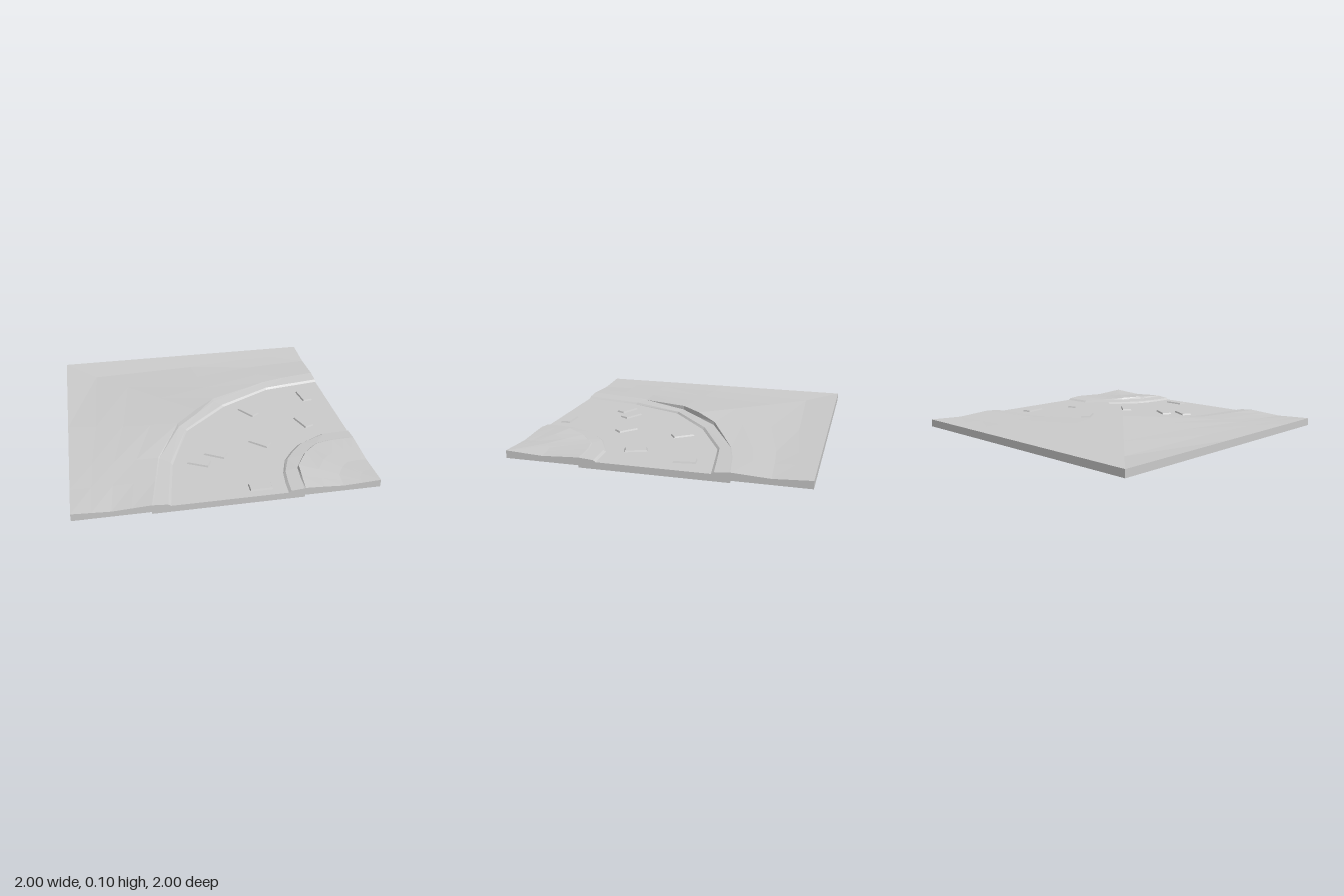
import * as THREE from 'three';

const material = new THREE.MeshStandardMaterial({ color: 0xcccccc, flatShading: true, side: THREE.DoubleSide });

// Plan lines [x, z] running from the front edge round to the right edge
const outerEdge = [[-0.5, 1], [-0.45, 0.75], [-0.4, 0.5], [-0.21, 0.13], [-0.05, -0.03], [0.11, -0.19], [0.56, -0.41], [0.75, -0.46], [1, -0.5]];
const outerFoot = [[-0.38, 1], [-0.345, 0.78], [-0.31, 0.57], [-0.15, 0.17], [0.015, 0.025], [0.18, -0.12], [0.57, -0.32], [0.78, -0.35], [1, -0.38]];
const innerFoot = [[0.38, 1], [0.385, 0.9], [0.4, 0.79], [0.45, 0.65], [0.52, 0.56], [0.6, 0.48], [0.8, 0.38], [0.9, 0.375], [1, 0.37]];
const innerEdge = [[0.49, 1], [0.5, 0.88], [0.51, 0.77], [0.6, 0.63], [0.66, 0.57], [0.72, 0.52], [0.84, 0.495], [0.92, 0.49], [1, 0.49]];
const outerBorder = [[-1, 1], [-1, 0.75], [-1, 0.5], [-1, 0], [-1, -1], [0, -1], [0.5, -1], [0.75, -1], [1, -1]];
const innerBorder = [[0.99, 1], [0.99, 1], [1, 1], [1, 1], [1, 1], [1, 1], [1, 1], [1, 0.99], [1, 0.99]];

const mix = (a, b, t) => [a[0] + (b[0] - a[0]) * t, a[1] + (b[1] - a[1]) * t];
const bump = (x, z, cx, cz, r) => Math.exp(-((x - cx) ** 2 + (z - cz) ** 2) / (r * r));
const dip = (t) => Math.max(0, 1 - Math.abs(Math.abs(t) - 0.75) / 0.25);

// Rolling height of the grass
function ground(x, z) {
  let y = 0.068 + 0.035 * bump(x, z, -0.1, -0.02, 0.36) + 0.02 * bump(x, z, 0.54, 0.74, 0.18);
  const nearFront = Math.max(0, 1 - (1 - z) / 0.4);
  const nearRight = Math.max(0, 1 - (1 - x) / 0.4);
  y -= 0.014 * Math.max(dip(x) * nearFront, z > 0 ? dip(z) * nearRight : dip(z));
  return y;
}

// Skin a list of equal-length cross-sections of [x, y, z] points
function loft(name, rows, flip) {
  const n = rows[0].length;
  const index = [];
  for (let i = 0; i < rows.length - 1; i++) {
    for (let j = 0; j < n - 1; j++) {
      const a = i * n + j, b = a + n, c = a + 1, d = b + 1;
      index.push(...(flip ? [a, c, b, b, c, d] : [a, b, c, b, d, c]));
    }
  }
  const geometry = new THREE.BufferGeometry();
  geometry.setAttribute('position', new THREE.Float32BufferAttribute(rows.flat(2), 3));
  geometry.setIndex(index);
  geometry.computeVertexNormals();
  const mesh = new THREE.Mesh(geometry, material);
  mesh.name = name;
  return mesh;
}

// Close both ends of a loft with a vertical skirt
function withEnds(rows, bottom) {
  const drop = (row) => row.map(([x, , z]) => [x, bottom, z]);
  return [drop(rows[0]), ...rows, drop(rows[rows.length - 1])];
}

// Grass sheet between a path edge and the tile border
function grass(name, edge, border, steps, flip) {
  const rows = edge.map((e, i) => {
    const row = [];
    for (let k = 0; k <= steps; k++) {
      const [x, z] = mix(e, border[i], k / steps);
      row.push([x, ground(x, z), z]);
    }
    const [x, z] = border[i];
    row.push([x, 0.015, z]);
    return row;
  });
  return loft(name, withEnds(rows, 0.015), flip);
}

// Sunken path with a kerb along each side
function path() {
  const floor = 0.047;
  const rows = outerEdge.map((o, i) => {
    const p = outerFoot[i], q = innerFoot[i], e = innerEdge[i];
    const at = ([x, z], y) => [x, y, z];
    return [
      at(o, 0), at(o, ground(...o)), at(mix(o, p, 0.08), 0.067), at(mix(o, p, 0.85), 0.06), at(p, floor),
      at(q, floor), at(mix(e, q, 0.85), 0.06), at(mix(e, q, 0.08), 0.067), at(e, ground(...e)), at(e, 0),
    ];
  });
  return loft('path', withEnds(rows, 0), true);
}

// Flat paving stone with tapered sides
function stone(x, z, dx, dz) {
  const geometry = new THREE.BoxGeometry(0.155, 0.016, 0.078);
  const pos = geometry.attributes.position;
  for (let i = 0; i < pos.count; i++) {
    if (pos.getY(i) > 0) {
      pos.setX(i, pos.getX(i) * 0.91);
      pos.setZ(i, pos.getZ(i) * 0.82);
    }
  }
  geometry.computeVertexNormals();
  const mesh = new THREE.Mesh(geometry, material);
  mesh.name = 'pavingStone';
  mesh.position.set(x, 0.05, z);
  mesh.rotation.y = -Math.atan2(dz, dx);
  return mesh;
}

export function createModel() {
  const group = new THREE.Group();
  group.name = 'curvedPathTile';
  group.add(grass('outerGrass', outerEdge, outerBorder, 4, false));
  group.add(grass('innerGrass', innerEdge, innerBorder.map((b) => b.map((v) => (v > 0.98 ? 1 : v))), 4, true));
  group.add(path());

  // Stones: x, z and the direction of the long side
  const stones = [
    [0.835, -0.17, 0.02, 0.15], [0.35, -0.015, 0.09, 0.125], [0.72, 0.2, 0.05, 0.14], [0.335, 0.41, 0.12, 0.105],
    [0, 0.495, 0.13, 0.075], [-0.13, 0.575, 0.13, 0.065], [0.215, 0.91, 1, 0],
  ];
  stones.forEach((s) => group.add(stone(...s)));
  return group;
}
